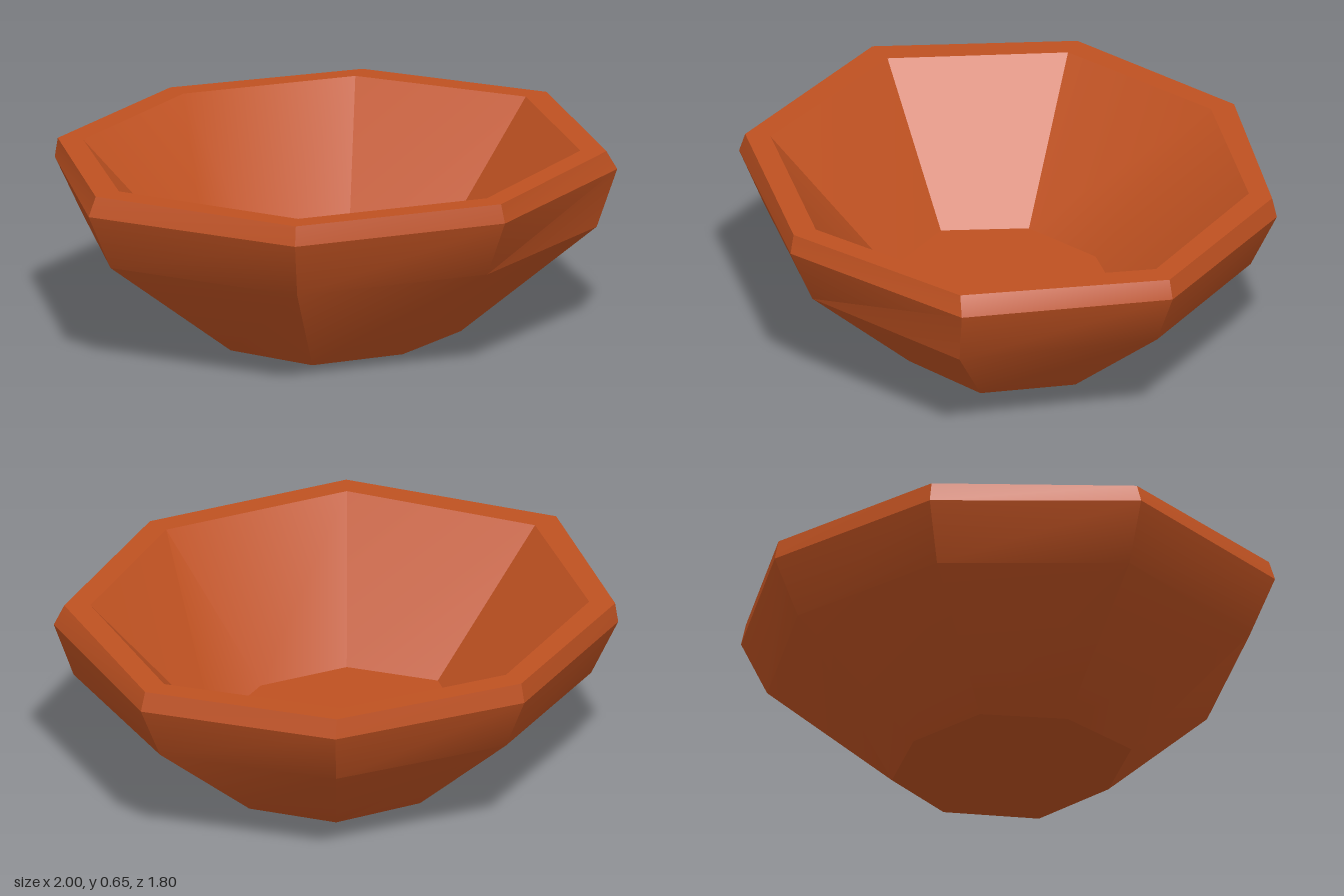
import * as THREE from 'three';
import { toCreasedNormals } from 'three/addons/utils/BufferGeometryUtils.js';

// Hand-shaped octagonal rings: [x, z] corners, clockwise from the back as seen from above
const BASE = [[-0.01, -0.37], [0.3, -0.28], [0.44, 0], [0.33, 0.31], [0.01, 0.4], [-0.31, 0.31], [-0.42, 0], [-0.31, -0.28]];
const SHOULDER = [[0.01, -0.81], [0.605, -0.595], [0.905, -0.045], [0.685, 0.605], [0.055, 0.81], [-0.605, 0.605], [-0.91, -0.035], [-0.59, -0.605]];
const WIDE = [[0.01, -0.9], [0.67, -0.66], [1, -0.05], [0.75, 0.635], [0.06, 0.9], [-0.665, 0.67], [-1, -0.04], [-0.655, -0.67]];
const RIM_OUT = [[0.01, -0.885], [0.655, -0.65], [0.98, -0.05], [0.715, 0.62], [0.055, 0.885], [-0.65, 0.655], [-0.97, -0.04], [-0.65, -0.66]];
const RIM_IN = [[0, -0.8], [0.585, -0.6], [0.89, -0.05], [0.65, 0.56], [0.06, 0.8], [-0.59, 0.59], [-0.87, -0.04], [-0.595, -0.59]];
const FLOOR = [[-0.02, -0.355], [0.3, -0.27], [0.465, 0], [0.34, 0.28], [0.01, 0.39], [-0.3, 0.29], [-0.45, 0], [-0.31, -0.265]];

// Lift a flat ring to height y, with a slight lean towards the back
const ring = (points, y, lean = 0) => points.map(([x, z]) => [x, y + lean * z, z]);

function toGeometry(triangles) {
  const geometry = new THREE.BufferGeometry();
  geometry.setAttribute('position', new THREE.Float32BufferAttribute(triangles.flat(), 3));
  return toCreasedNormals(geometry, THREE.MathUtils.degToRad(30));
}

// Skin between successive rings
function loft(rings) {
  const triangles = [];
  for (let i = 0; i < rings.length - 1; i++) {
    const lower = rings[i], upper = rings[i + 1];
    for (let k = 0; k < lower.length; k++) {
      const n = (k + 1) % lower.length;
      triangles.push(lower[n], lower[k], upper[k], lower[n], upper[k], upper[n]);
    }
  }
  return toGeometry(triangles);
}

// Flat fan closing a ring, facing up or down
function cap(points, up) {
  const triangles = [];
  for (let k = 1; k < points.length - 1; k++) {
    triangles.push(points[0], points[up ? k + 1 : k], points[up ? k : k + 1]);
  }
  return toGeometry(triangles);
}

export function createModel() {
  const group = new THREE.Group();
  group.name = 'bowl';
  const clay = new THREE.MeshStandardMaterial({ color: 0xbe5121 });
  clay.name = 'terracotta';

  const base = ring(BASE, 0.003, 0.005);
  const shoulder = ring(SHOULDER, 0.38);
  const wide = ring(WIDE, 0.577, 0.005);
  const rimOuter = ring(RIM_OUT, 0.644, 0.004);
  const rimInner = ring(RIM_IN, 0.644, 0.004);
  const floor = ring(FLOOR, 0.185);

  const parts = {
    underside: cap(base, false),
    outerWall: loft([base, shoulder, wide]),
    rim: loft([wide, rimOuter, rimInner]),
    innerWall: loft([rimInner, floor]),
    innerFloor: cap(floor, true),
  };
  for (const [name, geometry] of Object.entries(parts)) {
    const mesh = new THREE.Mesh(geometry, clay);
    mesh.name = name;
    group.add(mesh);
  }
  return group;
}
